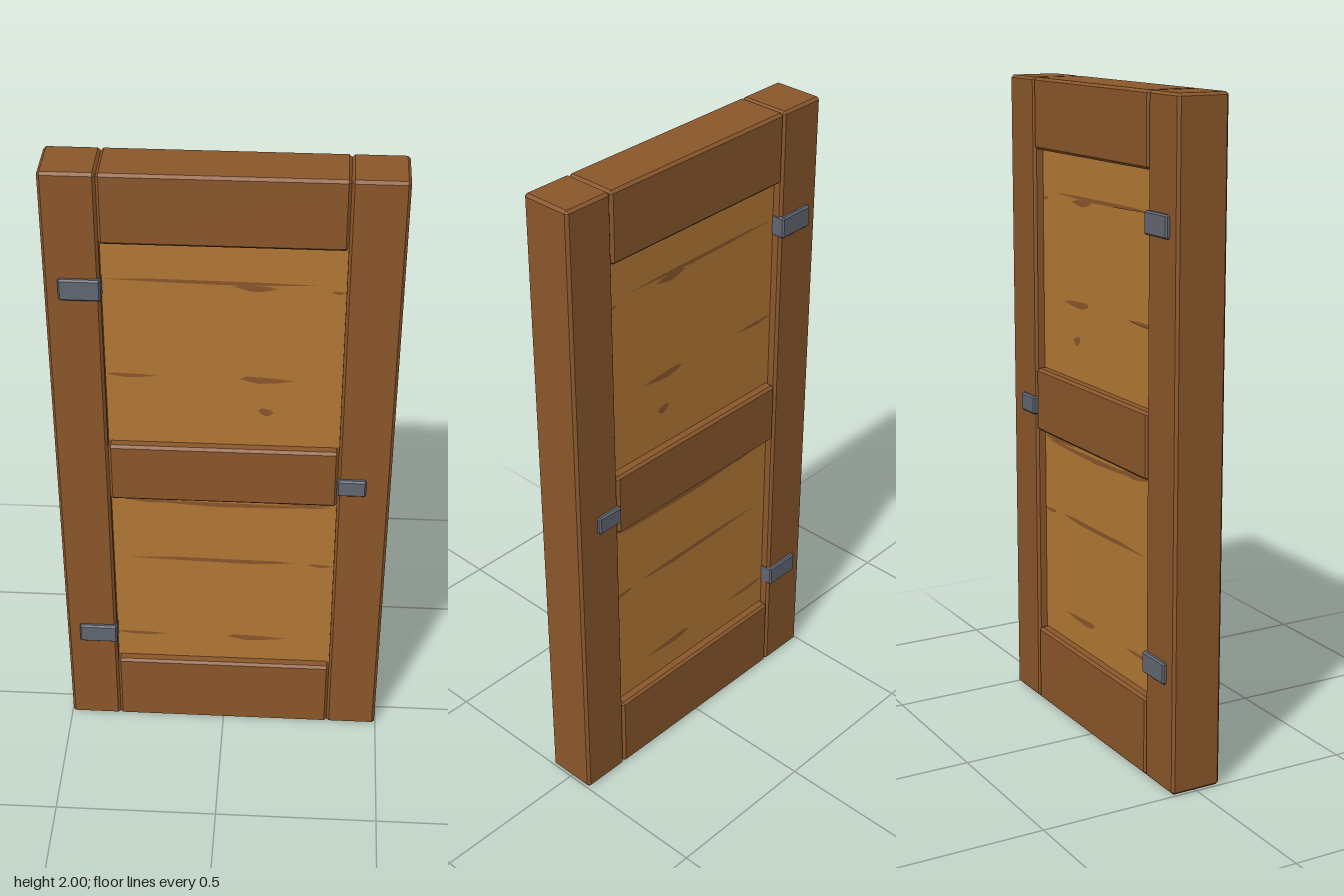
import * as THREE from 'three';
import { ConvexGeometry } from 'three/addons/geometries/ConvexGeometry.js';

const mat = (name, color, side = THREE.FrontSide) => {
  const m = new THREE.MeshStandardMaterial({ color, side });
  m.name = name;
  return m;
};

// Box given by its limits, depth centred on z = 0, with all edges chamfered by c
function chamferBox(x0, x1, y0, y1, depth, c) {
  const half = [(x1 - x0) / 2, (y1 - y0) / 2, depth / 2];
  const points = [];
  for (const sx of [-1, 1]) for (const sy of [-1, 1]) for (const sz of [-1, 1]) {
    for (let axis = 0; axis < 3; axis++) {
      const p = [sx, sy, sz].map((s, i) => s * (half[i] - (i === axis ? 0 : c)));
      points.push(new THREE.Vector3(...p));
    }
  }
  return new ConvexGeometry(points).translate((x0 + x1) / 2, (y0 + y1) / 2, 0);
}

// Slim wood streak: pointed at both ends, thickest at x = peak
function streak(x0, x1, y, thick, peak = (x0 + x1) / 2) {
  const h = thick / 2;
  return new THREE.Shape([
    new THREE.Vector2(x0, y + h * 0.3),
    new THREE.Vector2((x0 + peak) / 2, y - h * 0.5),
    new THREE.Vector2(peak, y - h),
    new THREE.Vector2((peak + x1) / 2, y - h * 0.7),
    new THREE.Vector2(x1, y),
    new THREE.Vector2((peak + x1) / 2, y + h * 0.6),
    new THREE.Vector2(x0 + (peak - x0) * 0.4, y + h),
  ]);
}

export function createModel() {
  const door = new THREE.Group();
  door.name = 'door';
  const frameWood = mat('frame wood', 0x8b572b);
  const panelWood = mat('panel wood', 0xb47935);
  const grainWood = mat('wood grain', 0x8b572b, THREE.DoubleSide);
  const iron = mat('iron', 0x626772);

  const add = (name, geometry, material) => {
    const mesh = new THREE.Mesh(geometry, material);
    mesh.name = name;
    door.add(mesh);
  };

  // Upright stiles
  add('rightStile', chamferBox(-0.497, -0.34, 0, 2, 0.16, 0.008), frameWood);
  add('leftStile', chamferBox(0.34, 0.497, 0, 2, 0.16, 0.008), frameWood);

  // Cross rails
  for (const [name, y0, y1] of [
    ['bottomRail', 0, 0.245], ['middleRail', 0.905, 1.105], ['topRail', 1.785, 2],
  ]) add(name, chamferBox(-0.34, 0.34, y0, y1, 0.16, 0.008), frameWood);

  // Recessed panels
  const panelZ = 0.05;
  for (const [name, y0, y1] of [['lowerPanel', 0.23, 0.92], ['upperPanel', 1.09, 1.8]]) {
    add(name, new THREE.BoxGeometry(0.7, y1 - y0, panelZ * 2).translate(0, (y0 + y1) / 2, 0), panelWood);
  }

  // Grain streaks and a knot, repeated on both faces
  const grain = [
    [-0.335, 0.255, 1.66, 0.014, 0], [0.03, 0.15, 1.645, 0.024], [0.3, 0.338, 1.638, 0.012],
    [-0.338, -0.19, 1.342, 0.014, -0.28], [0.045, 0.205, 1.338, 0.024, 0.1], [0.1, 0.146, 1.226, 0.03],
    [-0.3, -0.13, 0.886, 0.02], [-0.2, 0.335, 0.877, 0.018, 0], [0.13, 0.338, 0.888, 0.018, 0.27],
    [-0.3, 0.22, 0.656, 0.018, 0.08], [0.26, 0.338, 0.648, 0.014, 0.3],
    [-0.338, -0.17, 0.342, 0.014, -0.28], [0.01, 0.2, 0.338, 0.022, 0.07],
  ].map((g) => streak(...g));
  for (const [name, side] of [['frontGrain', 1], ['backGrain', -1]]) {
    const geometry = new THREE.ShapeGeometry(grain);
    if (side < 0) {
      // Reverse the corners so the faces point backwards
      const index = geometry.index.array;
      for (let i = 0; i < index.length; i += 3) [index[i], index[i + 1]] = [index[i + 1], index[i]];
      geometry.computeVertexNormals();
    }
    add(name, geometry.translate(0, 0, side * (panelZ + 0.002)), grainWood);
  }

  // Hinges and latch, passing through to both faces
  add('lowerHinge', chamferBox(-0.457, -0.338, 0.33, 0.396, 0.184, 0.005), iron);
  add('upperHinge', chamferBox(-0.457, -0.338, 1.61, 1.677, 0.184, 0.005), iron);
  add('latch', chamferBox(0.338, 0.425, 0.955, 1.012, 0.184, 0.005), iron);

  return door;
}
